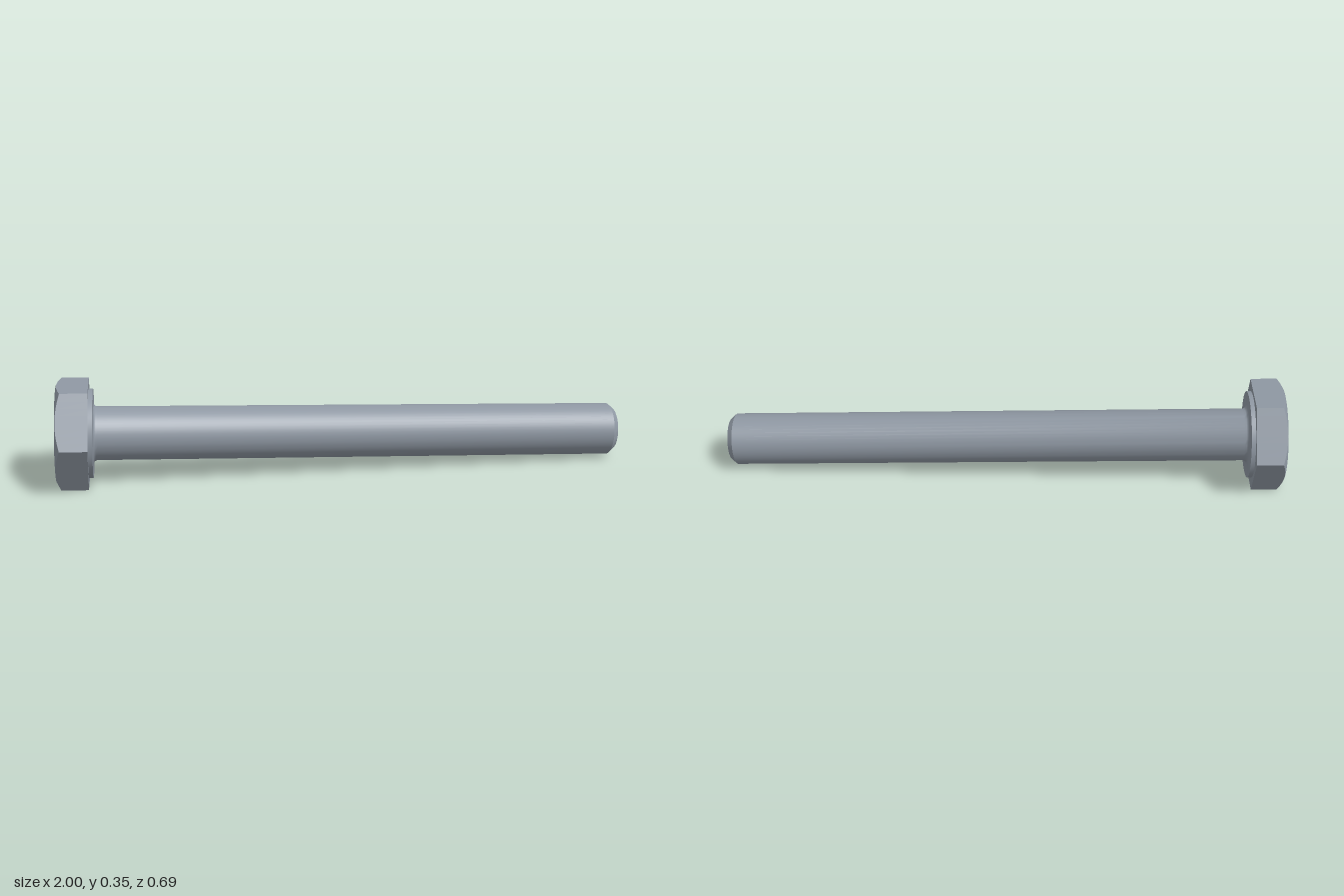
import * as THREE from 'three';
import { toCreasedNormals } from 'three/addons/utils/BufferGeometryUtils.js';

const LENGTH = 1.886;     // underside of head to tip
const SHANK_R = 0.093;
const HEAD_H = 0.109;
const APOTHEM = 0.172;

// Hexagonal head: rings from the underside centre, up the sides, over the rounded chamfer
function headGeometry() {
  const steps = 48;
  const hexRadius = (t) => {
    const s = Math.PI / 3;
    return APOTHEM / Math.cos(t - Math.round(t / s) * s);
  };
  const chamfer = (t) => -HEAD_H + 0.002 + (hexRadius(t) - APOTHEM) * 0.55;
  const rings = [
    () => [0, 0],
    (t) => [hexRadius(t), 0],
    (t) => [hexRadius(t), chamfer(t)],
    () => [0.168, -HEAD_H],
    () => [0, -HEAD_H],
  ];
  const point = (i, j) => {
    const t = Math.PI / 6 + (j % steps) / steps * Math.PI * 2;
    const [r, y] = rings[i](t);
    return [r * Math.cos(t), y, r * Math.sin(t)];
  };
  const pos = [];
  for (let i = 0; i < rings.length - 1; i++) {
    for (let j = 0; j < steps; j++) {
      const a = point(i, j), b = point(i + 1, j), c = point(i, j + 1), d = point(i + 1, j + 1);
      if (i > 0) pos.push(...a, ...c, ...b);
      if (i < rings.length - 2) pos.push(...c, ...d, ...b);
    }
  }
  const g = new THREE.BufferGeometry();
  g.setAttribute('position', new THREE.Float32BufferAttribute(pos, 3));
  return toCreasedNormals(g, 0.7);
}

// Washer face, fillet, plain shank and chamfered tip in one turned profile
function shankGeometry() {
  const p = [[0.155, 0], [0.155, 0.015]];
  const f = 0.015;
  for (let i = 0; i <= 4; i++) {
    const a = i / 4 * Math.PI / 2;
    p.push([SHANK_R + f - f * Math.sin(a), 0.015 + f - f * Math.cos(a)]);
  }
  p.push([SHANK_R, LENGTH - 0.02], [0.076, LENGTH], [0, LENGTH]);
  const g = new THREE.LatheGeometry(p.map(([x, y]) => new THREE.Vector2(x, y)), 48);
  return toCreasedNormals(g, 0.6);
}

export function createModel() {
  const steel = new THREE.MeshStandardMaterial({ color: 0x8f98a3 });
  steel.name = 'steel grey';

  const head = new THREE.Mesh(headGeometry(), steel);
  head.name = 'hexHead';
  const shank = new THREE.Mesh(shankGeometry(), steel);
  shank.name = 'shank';

  // The bolt lies on the ground, tilted along its axis with two head flats level
  const bolt = new THREE.Group();
  bolt.name = 'bolt';
  bolt.add(head, shank);
  const axis = new THREE.Vector3(1, -0.042, 0.2105).normalize();
  const side = new THREE.Vector3().crossVectors(axis, new THREE.Vector3(0, 1, 0)).normalize();
  const up = new THREE.Vector3().crossVectors(axis, side);
  bolt.quaternion.setFromRotationMatrix(new THREE.Matrix4().makeBasis(up, axis, side));
  bolt.position.set(-0.86, 0.172, -0.129);

  const model = new THREE.Group();
  model.name = 'hexBolt';
  model.add(bolt);
  return model;
}
